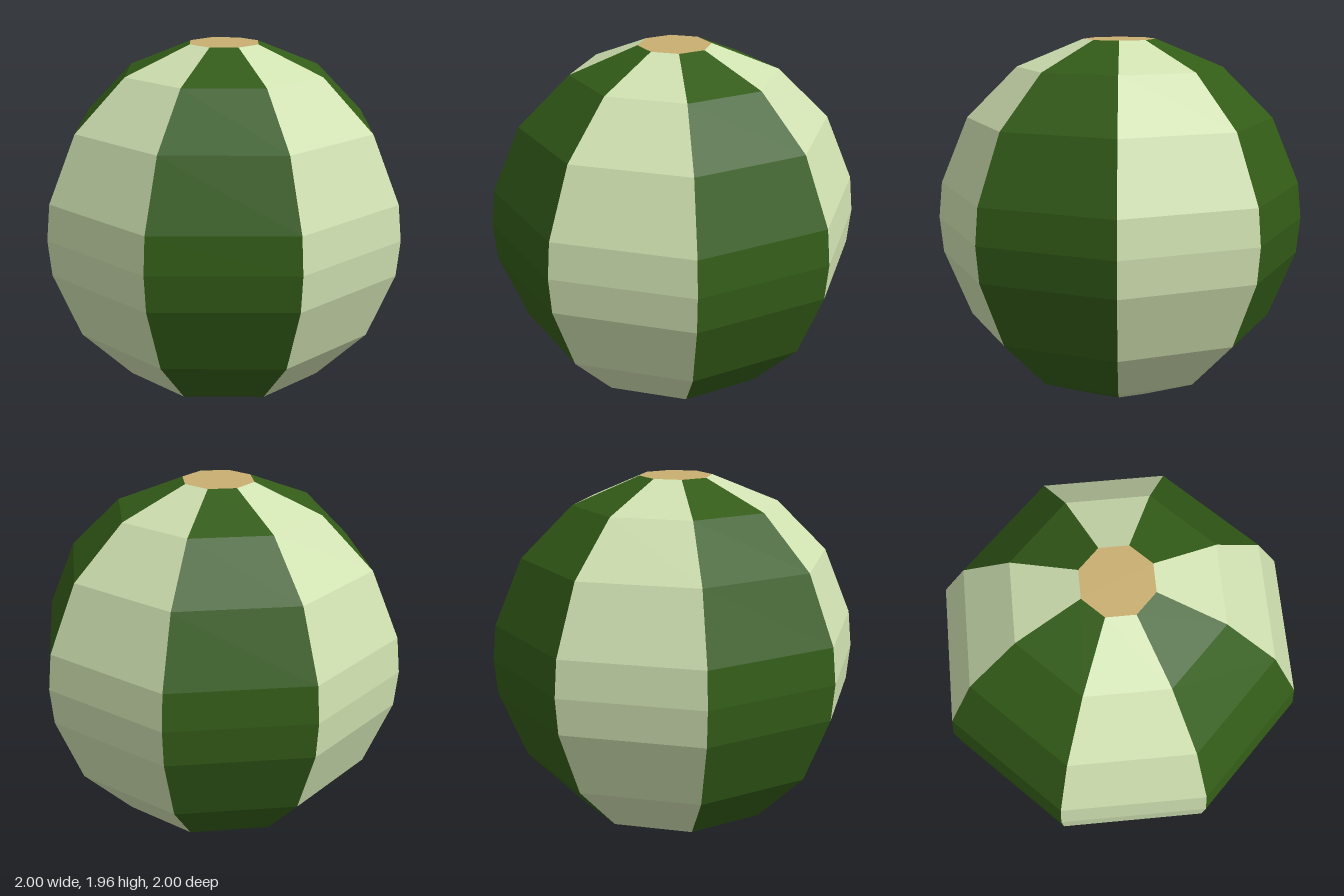
import * as THREE from 'three';

export function createModel() {
  const group = new THREE.Group();
  const sides = 8;
  const sector = (Math.PI * 2) / sides;
  const paint = (color) => new THREE.MeshStandardMaterial({ color, flatShading: true });
  const lightGreen = paint(0xd0e1b1);
  const darkGreen = paint(0x335c18);
  const tan = paint(0xc8ae70);

  // Profile of a unit sphere with its poles cut flat, from bottom to top
  const step = Math.PI / 16;
  const halfHeight = Math.cos(step);
  const profile = [15, 13, 11, 9, 8, 7, 5, 3, 1].map(
    (k) => new THREE.Vector2(Math.sin(k * step), halfHeight + Math.cos(k * step))
  );

  // Alternating panels around the ball
  for (let i = 0; i < sides; i++) {
    const panel = new THREE.Mesh(
      new THREE.LatheGeometry(profile, 1, i * sector, sector),
      i % 2 ? darkGreen : lightGreen
    );
    panel.name = i % 2 ? 'darkPanel' : 'lightPanel';
    group.add(panel);
  }

  // Flat octagonal end caps
  for (const top of [true, false]) {
    const cap = new THREE.Mesh(new THREE.CircleGeometry(Math.sin(step), sides), tan);
    cap.rotation.x = top ? -Math.PI / 2 : Math.PI / 2;
    cap.position.y = top ? 2 * halfHeight : 0;
    cap.name = top ? 'topCap' : 'bottomCap';
    group.add(cap);
  }

  return group;
}
